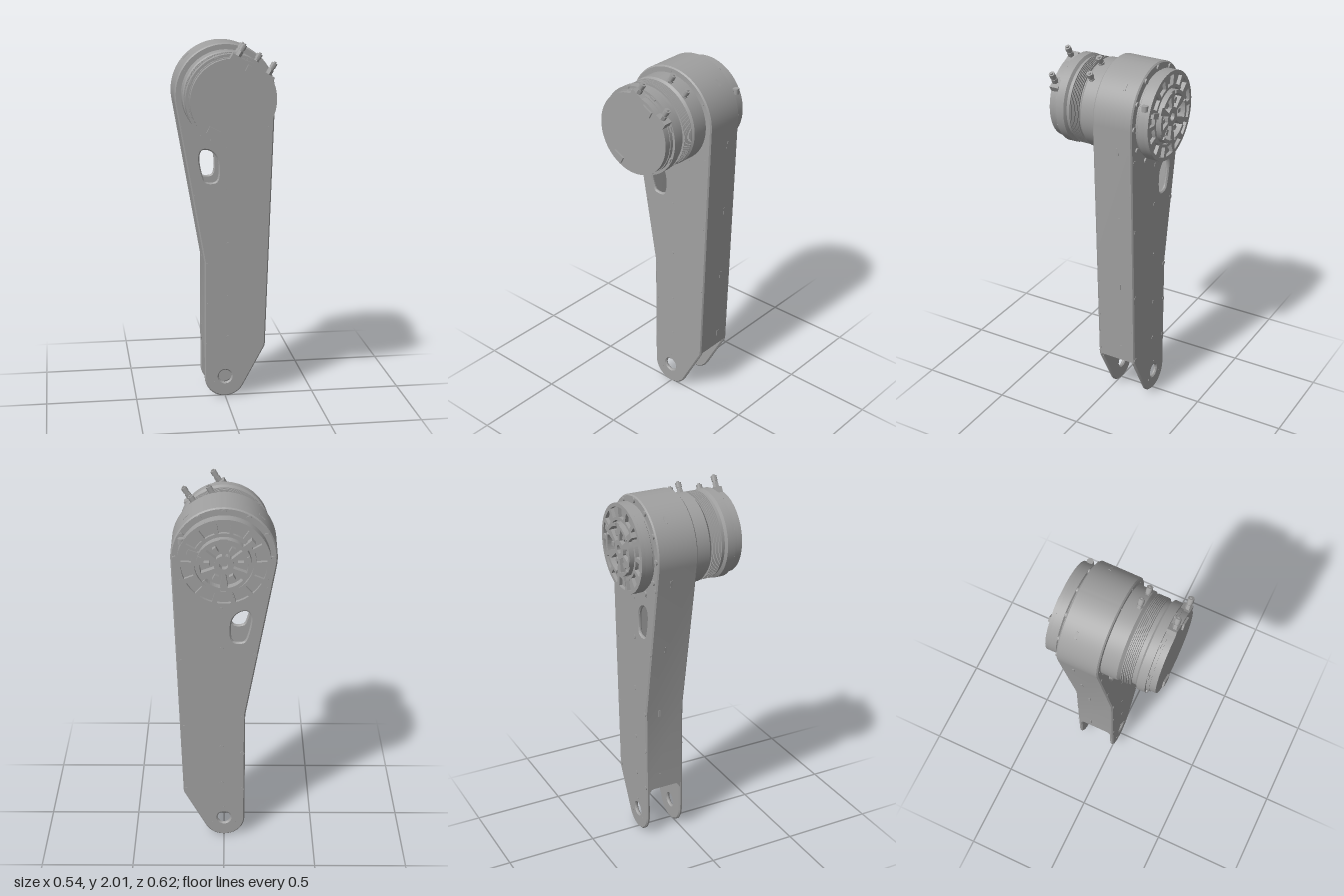
import * as THREE from 'three';
import { toCreasedNormals } from 'three/addons/utils/BufferGeometryUtils.js';

const CY = 1.713;   // height of the drive axis
const R = 0.272;    // radius of the arm head
const rad = THREE.MathUtils.degToRad;

export function createModel() {
  const model = new THREE.Group();
  const metal = new THREE.MeshStandardMaterial({ color: 0xa0a0a0 });
  metal.name = 'machined grey';

  const add = (name, geometry, parent = model) => {
    const mesh = new THREE.Mesh(geometry, metal);
    mesh.name = name;
    parent.add(mesh);
    return mesh;
  };
  // flat shape extruded between two z depths, with optional chamfer
  const slab = (name, shape, z0, z1, chamfer = 0, parent = model) => {
    const g = new THREE.ExtrudeGeometry(shape, {
      depth: z1 - z0 - 2 * chamfer, curveSegments: 32, bevelEnabled: chamfer > 0,
      bevelThickness: chamfer, bevelSize: chamfer, bevelOffset: -chamfer, bevelSegments: 1,
    });
    g.translate(0, 0, z0 + chamfer);
    return add(name, toCreasedNormals(g, 0.45), parent);
  };
  // turned part about the drive axis, profile as [radius, z]
  const turned = (name, profile) => {
    const g = new THREE.LatheGeometry(profile.map(([r, z]) => new THREE.Vector2(r, z)), 72);
    g.rotateX(Math.PI / 2).translate(0, CY, 0);
    return add(name, toCreasedNormals(g, 0.45));
  };
  const disc = (name, x, y, z, r, h, sides = 16) => {
    const g = new THREE.CylinderGeometry(r, r, h, sides);
    g.rotateX(Math.PI / 2).translate(x, y, z);
    return add(name, toCreasedNormals(g, 0.6));
  };
  const box = (name, x, y, z, w, h, d, angle = 0, parent = model) => {
    const m = add(name, new THREE.BoxGeometry(w, h, d), parent);
    m.position.set(x, y, z);
    m.rotation.z = angle;
    return m;
  };
  const circle = (r, x = 0, y = 0) => new THREE.Path().absarc(x, y, r, 0, Math.PI * 2, true);
  const sector = (r0, r1, a0, a1, Type = THREE.Path) => {
    const p = new Type();
    p.absarc(0, 0, r1, a0, a1, false);
    p.absarc(0, 0, r0, a1, a0, true);
    p.closePath();
    return p;
  };
  // head of the arm: up the straight right edge, around the top, down the left taper
  const headOutline = (p, t, footY) => {
    const r = R - t;
    p.moveTo(0.225 - t, footY);
    p.lineTo(r * Math.cos(rad(-2)), CY + r * Math.sin(rad(-2)));
    p.absarc(0, CY, r, rad(-2), rad(190), false);
    p.lineTo(-0.115 + t, 0.79);
    return p;
  };

  // --- arm plates with pivot hole and hand slot
  const slotPoints = (k) => new THREE.CatmullRomCurve3([
    [-0.125, 1.41], [-0.085, 1.408], [-0.044, 1.365], [-0.04, 1.255], [-0.055, 1.235],
    [-0.105, 1.237], [-0.122, 1.27], [-0.14, 1.375],
  ].map(([x, y]) => new THREE.Vector3(-0.09 + (x + 0.09) * k, 1.32 + (y - 1.32) * k, 0)), true)
    .getPoints(40).slice(0, 40).map((p) => new THREE.Vector2(p.x, p.y));

  const plate = headOutline(new THREE.Shape(), 0, 0.29);
  plate.absarc(0, 0.115, 0.115, Math.PI, rad(331), false);
  plate.closePath();
  plate.holes.push(circle(0.036, 0, 0.117), new THREE.Path(slotPoints(1)));
  slab('frontArmPlate', plate, -0.008, 0.013, 0.007);
  slab('backArmPlate', plate, -0.213, -0.192, 0.007);

  // --- hollow side wall and floor between the plates
  const wallOutline = (t, Type) => {
    const p = headOutline(new Type(), t, 0.296 + t);
    p.lineTo(-0.115 + t, 0.296 + t);
    p.closePath();
    return p;
  };
  const wall = wallOutline(0, THREE.Shape);
  wall.holes.push(wallOutline(0.014, THREE.Path));
  slab('armSideWall', wall, -0.206, 0.006);

  const sleeve = new THREE.Shape(slotPoints(1.08));
  sleeve.holes.push(new THREE.Path(slotPoints(1)));
  slab('slotSleeve', sleeve, -0.2, 0);

  // rounded crown of the fork opening
  const crown = new THREE.Shape();
  crown.moveTo(0, 0.306);
  crown.lineTo(0, 0.268);
  crown.lineTo(0.008, 0.268);
  crown.absarc(0.036, 0.268, 0.028, Math.PI, Math.PI / 2, true);
  crown.absarc(0.164, 0.268, 0.028, Math.PI / 2, 0, true);
  crown.lineTo(0.2, 0.268);
  crown.lineTo(0.2, 0.306);
  crown.closePath();
  slab('forkCrown', crown, -0.114, 0.211).rotation.y = Math.PI / 2;

  // --- plate screws, nearly flush on both faces
  const screws = [
    [-0.1, 0.31], [-0.1, 0.545], [-0.1, 0.775], [-0.165, 1.16], [-0.23, 1.545],
    [0.21, 0.31], [0.217, 0.715], [0.227, 1.12], [0.237, 1.525], [-0.13, 1.49],
    [0.015, 0.35], [0.015, 0.585], [0.015, 0.89], [0.015, 1.195], [0.015, 1.425],
  ];
  for (const [x, y] of screws) {
    disc('frontScrew', x, y, 0.012, 0.007, 0.006);
    disc('backScrew', x, y, -0.212, 0.012, 0.006);
  }
  for (const a of [90, 210, 330]) {
    for (const z of [0.012, -0.212]) {
      disc('pivotScrew', 0.068 * Math.cos(rad(a)), 0.117 + 0.068 * Math.sin(rad(a)), z, 0.006, 0.006);
    }
  }
  for (let i = 0; i < 12; i++) {
    const x = 0.25 * Math.cos(rad(i * 30)), y = CY + 0.25 * Math.sin(rad(i * 30));
    disc('headScrew', x, y, 0.012, 0.006, 0.005);
    disc('headBolt', x, y, -0.214, 0.014, 0.014);
  }
  // small side keys along the walls
  for (const y of [0.37, 0.77, 1.18, 1.58]) {
    box('rightKey', 0.225 + (y - 0.29) * 0.0333, y, -0.13, 0.004, 0.04, 0.012, rad(-1.9));
    const lx = y < 0.79 ? -0.115 : -0.115 - (y - 0.79) * 0.175;
    box('leftKey', lx, y, -0.13, 0.004, 0.04, 0.012, y < 0.79 ? 0 : rad(10));
  }
  for (const a of [45, 135]) {
    box('headKey', R * Math.cos(rad(a)), CY + R * Math.sin(rad(a)), -0.134, 0.004, 0.04, 0.012, rad(a));
  }

  // --- drive housing at the front, with cooling fins
  turned('driveHousing', [
    [0, -0.02], [0.238, -0.02], [0.238, 0.1], [0.222, 0.115], [0.222, 0.196],
    [0.238, 0.206], [0.238, 0.25], [0.224, 0.25], [0.224, 0.268], [0.22, 0.268],
    [0.22, 0.3], [0, 0.3],
  ]);
  for (let i = 0; i < 7; i++) {
    const z = 0.119 + i * 0.0088;
    turned('coolingFin', [[0.215, z], [0.234, z], [0.234, z + 0.003], [0.215, z + 0.003]]);
  }
  for (let i = 0; i < 8; i++) {
    const a = rad(i * 45 + 20);
    box('coverTab', 0.226 * Math.cos(a), CY + 0.226 * Math.sin(a), 0.25, 0.014, 0.03, 0.016, a);
  }
  box('coverPadLower', -0.1, CY - 0.155, 0.302, 0.064, 0.036, 0.016, rad(-28));
  box('coverPadUpper', 0.098, CY + 0.157, 0.302, 0.064, 0.036, 0.016, rad(-28));

  // --- connector block and cable connectors, tilted towards the model's left
  const connectors = new THREE.Group();
  connectors.name = 'connectors';
  connectors.position.y = CY;
  connectors.rotation.z = rad(-31);
  model.add(connectors);
  box('connectorBlock', 0, 0.15, 0.275, 0.25, 0.126, 0.05, 0, connectors);
  for (const [x, z] of [[-0.095, 0.283], [0.088, 0.283], [-0.07, 0.083], [0.038, 0.083]]) {
    const stack = [[0.017, 0.2, 0.24, 6], [0.013, 0.238, 0.252, 16], [0.016, 0.25, 0.277, 16], [0.008, 0.276, 0.284, 12]];
    for (const [r, y0, y1, n] of stack) {
      const g = new THREE.CylinderGeometry(r, r, y1 - y0, n);
      add('connector', toCreasedNormals(g, 0.6), connectors).position.set(x, (y0 + y1) / 2, z);
    }
  }

  // --- output flange at the back
  turned('flangeBase', [[0, -0.268], [0.238, -0.268], [0.238, -0.228], [0.228, -0.222], [0.228, -0.2], [0, -0.2]]);
  const flange = new THREE.Group();
  flange.name = 'outputFlange';
  flange.position.y = CY;
  model.add(flange);

  const rim = new THREE.Shape().absarc(0, 0, 0.238, 0, Math.PI * 2, false);
  rim.holes.push(circle(0.15));
  for (let i = 0; i < 14; i++) {
    const a = i * Math.PI / 7;
    rim.holes.push(sector(0.165, 0.218, a + 0.06, a + Math.PI / 7 - 0.06));
  }
  slab('pocketedRim', rim, -0.287, -0.266, 0, flange);

  // spoked hub with a raised, notched edge
  const hub = new THREE.Shape().absarc(0, 0, 0.14, 0, Math.PI * 2, false);
  hub.holes.push(circle(0.022));
  for (let i = 0; i < 6; i++) {
    const a = rad(i * 60 + 30), b = a + Math.PI / 3;
    hub.holes.push(sector(0.05, 0.122, a + 0.17, b - 0.17));
    slab('hubEdge', sector(0.122, 0.14, a + 0.15, b - 0.15, THREE.Shape), -0.31, -0.3, 0, flange);
    const c = a + Math.PI / 6;
    box('hubBlock', 0.086 * Math.cos(c), 0.086 * Math.sin(c), -0.28, 0.03, 0.022, 0.03, c, flange);
  }
  slab('spokedHub', hub, -0.302, -0.266, 0, flange);
  for (const [a, z] of [[140, -0.286], [20, -0.272], [260, -0.272]]) {
    box('rimClamp', 0.165 * Math.cos(rad(a)), 0.165 * Math.sin(rad(a)), z, 0.06, 0.03, 0.04, rad(a), flange);
  }
  const boss = new THREE.CylinderGeometry(0.017, 0.017, 0.03, 16);
  add('flangeBoss', toCreasedNormals(boss, 0.6), flange).position.set(0.214, 0.112, -0.257);

  return model;
}
